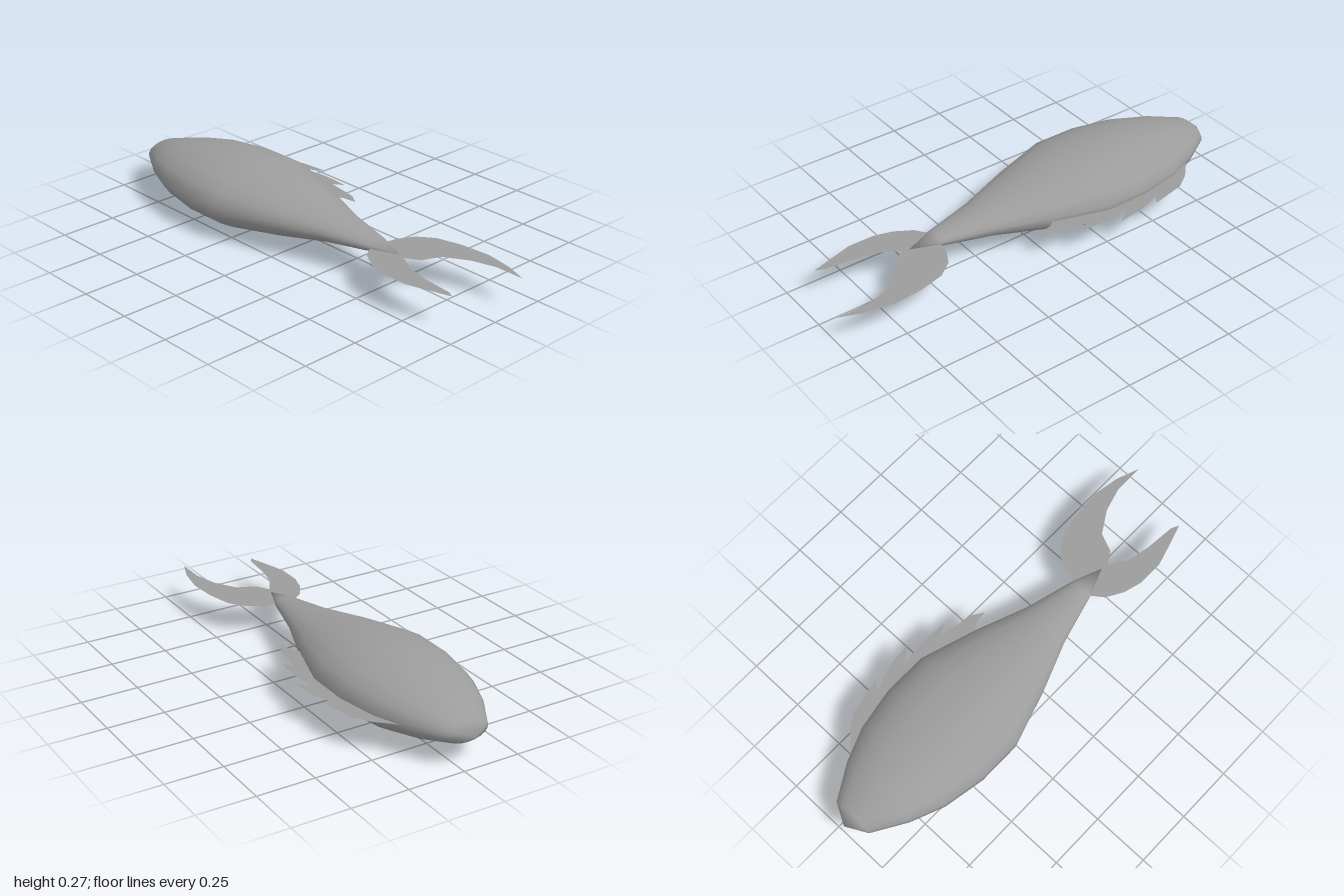
import * as THREE from 'three';

const CX = -0.047, CY = 0.135;

// Flat horizontal fin from an outline of [x, z] points
function fin(name, outline, material) {
  const shape = new THREE.Shape(outline.map(([x, z]) => new THREE.Vector2(x, z)));
  const mesh = new THREE.Mesh(new THREE.ShapeGeometry(shape).rotateX(Math.PI / 2), material);
  mesh.position.y = CY;
  mesh.name = name;
  return mesh;
}

export function createModel() {
  const group = new THREE.Group();
  group.name = 'fish';
  const skin = new THREE.MeshStandardMaterial({ color: 0x9c9c9c });
  const thin = new THREE.MeshStandardMaterial({ color: 0x9c9c9c, side: THREE.DoubleSide });

  // Body: 18-sided lathe along z, flattened in height; [radius, z] from nose to tail
  const profile = [
    [0, -1], [0.093, -0.95], [0.18, -0.805], [0.239, -0.66], [0.273, -0.475],
    [0.273, -0.28], [0.195, -0.033], [0.109, 0.193], [0.051, 0.41], [0, 0.54],
  ].map(([r, z]) => new THREE.Vector2(r, z));
  const bodyGeometry = new THREE.LatheGeometry(profile, 18).rotateX(Math.PI / 2).scale(1, 0.49, 1);
  // Round the shading at nose and tail tip: normals there point along the axis
  const { position, normal } = bodyGeometry.attributes;
  for (let i = 0; i < position.count; i++) {
    if (Math.hypot(position.getX(i), position.getY(i)) < 1e-5) {
      normal.setXYZ(i, 0, 0, Math.sign(position.getZ(i)));
    }
  }
  const body = new THREE.Mesh(bodyGeometry, skin);
  body.position.set(CX, CY, 0);
  body.name = 'body';
  group.add(body);

  // Ragged back fin, its root buried in the body
  group.add(fin('dorsalFin', [
    [0.1, -0.79], [0.125, -0.79], [0.22, -0.7], [0.267, -0.63], [0.3, -0.473],
    [0.262, -0.494], [0.3, -0.396], [0.313, -0.27], [0.262, -0.34], [0.275, -0.225],
    [0.267, -0.1], [0.236, -0.145], [0.21, 0.005], [0.177, 0.054], [0.167, -0.01],
    [0.145, -0.042], [0.1, -0.055],
  ], thin));

  // Forked tail
  group.add(fin('tailFin', [
    [-0.098, 0.417], [-0.146, 0.452], [-0.19, 0.527], [-0.212, 0.608], [-0.212, 0.723],
    [-0.182, 0.828], [-0.155, 0.917], [-0.138, 0.884], [-0.125, 0.748], [-0.103, 0.648],
    [-0.055, 0.567], [-0.018, 0.627], [0.06, 0.66], [0.12, 0.758], [0.15, 0.865],
    [0.15, 1], [0.188, 0.899], [0.21, 0.775], [0.2, 0.643], [0.172, 0.531],
    [0.12, 0.462], [0.05, 0.425], [-0.003, 0.415],
  ], thin));

  return group;
}
